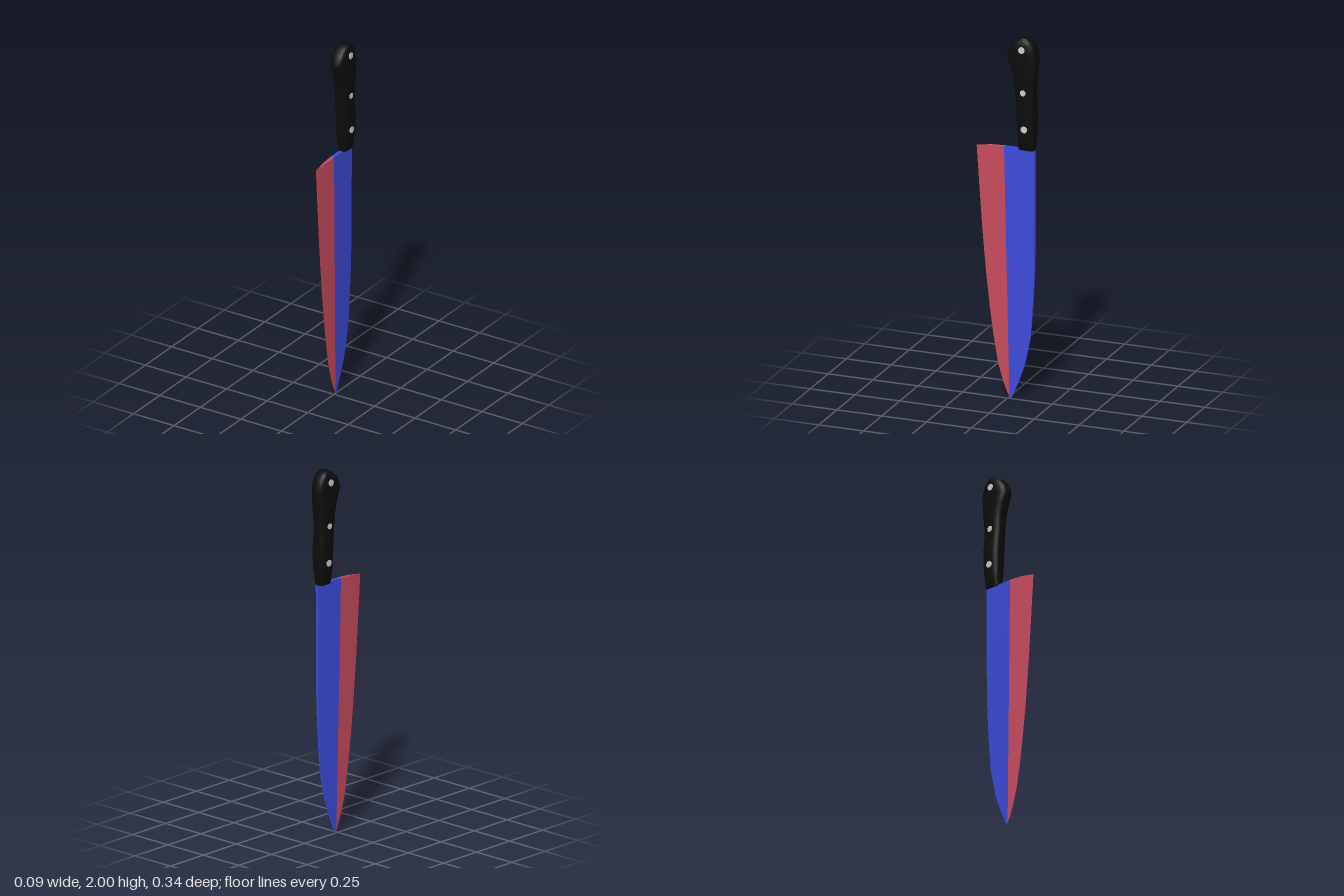
import * as THREE from 'three';
import { toCreasedNormals } from 'three/addons/utils/BufferGeometryUtils.js';

// Skin a stack of equal-length rings (bottom to top), with optional wrap and end caps
function loft(rings, { closed = false, bottom = false, top = false, crease = 0.6 } = {}) {
  const n = rings[0].length;
  const index = [];
  const last = (rings.length - 1) * n;
  for (let r = 0; r < rings.length - 1; r++) {
    for (let i = 0; i < (closed ? n : n - 1); i++) {
      const a = r * n + i, b = r * n + (i + 1) % n;
      index.push(a, a + n, b, b, a + n, b + n);
    }
  }
  for (let i = 1; i < n - 1; i++) {
    if (bottom) index.push(0, i, i + 1);
    if (top) index.push(last, last + i + 1, last + i);
  }
  const geometry = new THREE.BufferGeometry();
  geometry.setAttribute('position', new THREE.Float32BufferAttribute(rings.flat(2), 3));
  geometry.setIndex(index);
  return toCreasedNormals(geometry, crease);
}

function mesh(name, geometry, color) {
  const m = new THREE.Mesh(geometry, new THREE.MeshStandardMaterial({ color }));
  m.name = name;
  return m;
}

// Blade stations: y, cutting edge z, spine z, half thickness
const BLADE = [
  [0.005, -0.019, -0.021, 0.001],
  [0.04, 0.002, -0.037, 0.0015],
  [0.1, 0.026, -0.062, 0.002],
  [0.2, 0.054, -0.098, 0.003],
  [0.35, 0.079, -0.13, 0.004],
  [0.5, 0.099, -0.142, 0.005],
  [0.66, 0.117, -0.151, 0.006],
  [0.8, 0.13, -0.155, 0.007],
  [0.94, 0.142, -0.155, 0.008],
  [1.2, 0.16, -0.155, 0.0095],
  [1.388, 0.172, -0.155, 0.01],
];

// Handle stations: y, front z, back z, half width
const HANDLE = [
  [1.385, -0.066, -0.155, 0.026],
  [1.42, -0.064, -0.157, 0.033],
  [1.47, -0.061, -0.161, 0.039],
  [1.55, -0.058, -0.164, 0.043],
  [1.62, -0.054, -0.161, 0.043],
  [1.68, -0.049, -0.157, 0.041],
  [1.74, -0.045, -0.159, 0.042],
  [1.79, -0.038, -0.164, 0.044],
  [1.84, -0.022, -0.168, 0.045],
  [1.9, -0.002, -0.172, 0.045],
  [1.93, -0.011, -0.167, 0.045],
  [1.96, -0.029, -0.157, 0.043],
  [1.985, -0.054, -0.14, 0.037],
  [2.0, -0.078, -0.118, 0.027],
];

// Rounded-rectangle section, a little thinner toward the front
function handleRing([y, front, back, half]) {
  const sides = 24, mid = (front + back) / 2, depth = (front - back) / 2;
  const soften = (v) => Math.sign(v) * Math.abs(v) ** 0.62;
  return Array.from({ length: sides }, (_, i) => {
    const a = (i / sides) * Math.PI * 2;
    const s = soften(Math.sin(a));
    return [half * soften(Math.cos(a)) * (0.96 - 0.04 * s), y, mid + depth * s];
  });
}

export function createModel() {
  const knife = new THREE.Group();
  knife.name = 'kitchenKnife';

  // Blade: flat body toward the spine, tapered bevel toward the cutting edge
  const topY = BLADE[BLADE.length - 1][0];
  const body = [], bevel = [];
  for (const [y, edge, spine, t] of BLADE) {
    const mid = y < 0.01 ? -0.02 : -0.012 + 0.027 * (y / topY);
    const edgeY = y === topY ? 1.373 : y;
    body.push([[-t, y, mid], [-t, y, spine], [t, y, spine], [t, y, mid]]);
    bevel.push([
      [t, y, mid],
      [t * 0.62, y === topY ? 1.385 : y, mid + (edge - mid) * 0.5],
      [0, edgeY, edge],
      [-t * 0.62, y === topY ? 1.385 : y, mid + (edge - mid) * 0.5],
      [-t, y, mid],
    ]);
  }
  const blade = new THREE.Group();
  blade.name = 'blade';
  blade.add(
    mesh('bladeBody', loft(body, { bottom: true, top: true }), 0x3c4cdc),
    mesh('bladeBevel', loft(bevel, { bottom: true, top: true, crease: 0.2 }), 0xca4c5e),
  );
  knife.add(blade);

  // Handle
  knife.add(mesh('handle', loft(HANDLE.map(handleRing), { closed: true, bottom: true, top: true, crease: 0.8 }), 0x0c0c0c));

  // Rivets running through the handle
  for (const [y, z, r, half] of [[1.505, -0.108, 0.018, 0.0425], [1.705, -0.102, 0.016, 0.0425], [1.94, -0.095, 0.018, 0.0455]]) {
    const rivet = mesh('rivet', new THREE.CylinderGeometry(r, r, half * 2, 20), 0xcccccc);
    rivet.rotation.z = Math.PI / 2;
    rivet.position.set(0, y, z);
    knife.add(rivet);
  }
  return knife;
}
